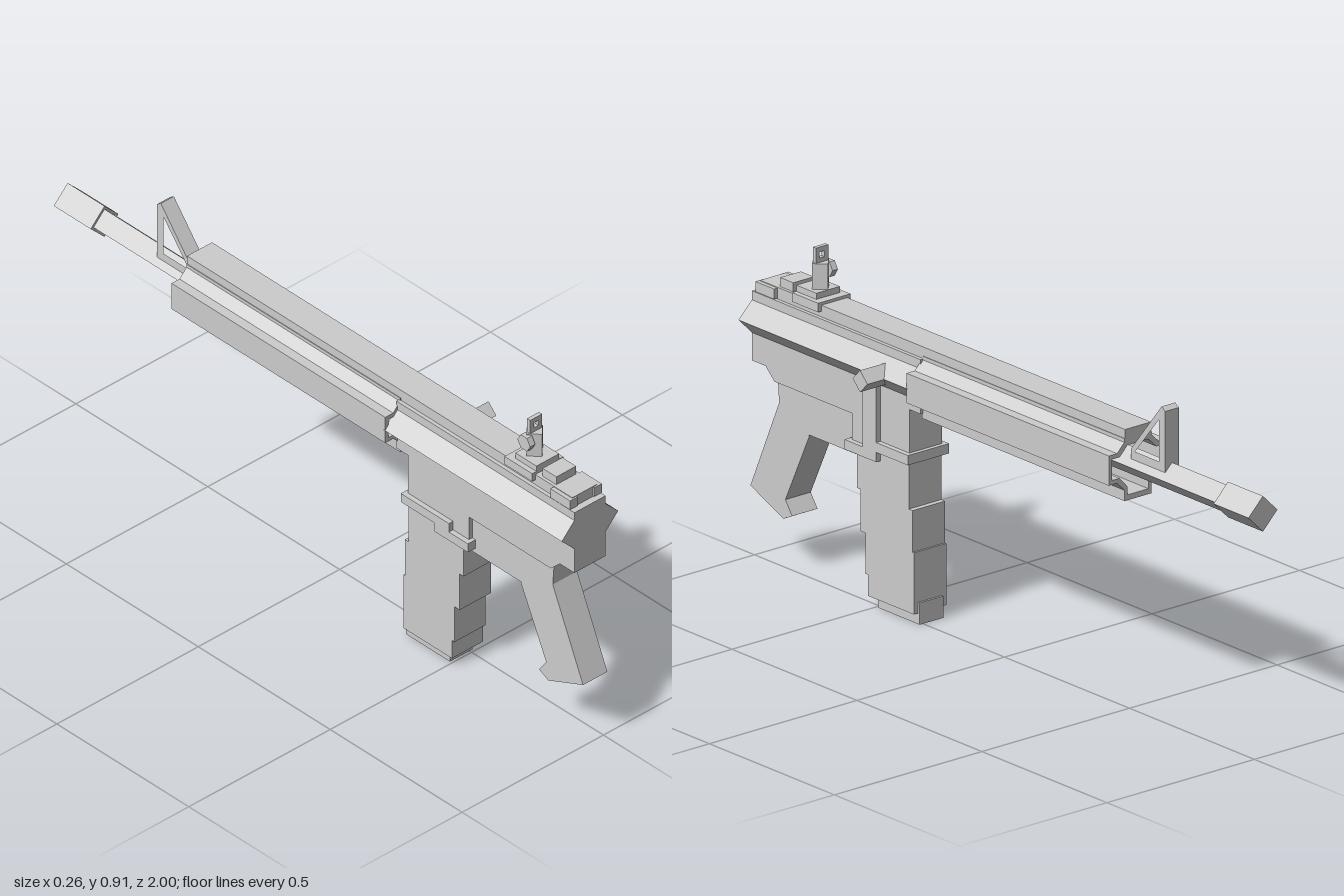
import * as THREE from 'three';

const MID = -0.029; // centre line of the body in x

export function createModel() {
  const group = new THREE.Group();
  const grey = new THREE.MeshStandardMaterial({ color: 0xcccccc, flatShading: true });
  grey.name = 'plainGrey';

  const add = (name, geometry) => {
    const mesh = new THREE.Mesh(geometry, grey);
    mesh.name = name;
    group.add(mesh);
    return mesh;
  };
  // Box from its limits on each axis
  const box = (name, x0, x1, y0, y1, z0, z1) =>
    add(name, new THREE.BoxGeometry(x1 - x0, y1 - y0, z1 - z0)
      .translate((x0 + x1) / 2, (y0 + y1) / 2, (z0 + z1) / 2));
  // Box centred on the body
  const midBox = (name, half, y0, y1, z0, z1) => box(name, MID - half, MID + half, y0, y1, z0, z1);
  const toPoints = (list) => list.map(([a, b]) => new THREE.Vector2(a, b));
  // Side profile given as [z, y], extruded across x
  const slab = (name, half, outline, hole) => {
    const flip = (list) => toPoints(list.map(([z, y]) => [-z, y]));
    const shape = new THREE.Shape(flip(outline));
    if (hole) shape.holes.push(new THREE.Path(flip(hole)));
    const geometry = new THREE.ExtrudeGeometry(shape, { depth: half * 2, bevelEnabled: false });
    return add(name, geometry.rotateY(Math.PI / 2).translate(MID - half, 0, 0));
  };
  // Square bar set on its corner, along z
  const diamondBar = (name, x, y, r, z0, z1) =>
    add(name, new THREE.CylinderGeometry(r, r, z1 - z0, 4).rotateX(Math.PI / 2)
      .translate(x, y, (z0 + z1) / 2));

  // Barrel and muzzle
  diamondBar('barrel', MID, 0.67, 0.039, -0.88, 0.32);
  diamondBar('muzzle', MID, 0.67, 0.049, -1, -0.86);

  // Hollow fore-end, mirrored half section given as [half width, y]
  const mirror = (half) => toPoints([
    ...half.map(([w, y]) => [MID + w, y]),
    ...half.slice().reverse().map(([w, y]) => [MID - w, y]),
  ]);
  const section = new THREE.Shape(mirror([
    [0.046, 0.575], [0.046, 0.605], [0.071, 0.63], [0.099, 0.63],
    [0.099, 0.712], [0.071, 0.712], [0.046, 0.737], [0.046, 0.747],
  ]));
  section.holes.push(new THREE.Path(mirror([
    [0.035, 0.59], [0.035, 0.612], [0.062, 0.642], [0.088, 0.642],
    [0.088, 0.70], [0.062, 0.70], [0.035, 0.727],
  ])));
  add('foreEnd', new THREE.ExtrudeGeometry(section, { depth: 0.81, bevelEnabled: false })
    .translate(0, 0, -0.5));
  midBox('topRail', 0.044, 0.73, 0.772, -0.5, 0.96);

  // Receiver with its corner-set side bars
  slab('receiver', 0.055, [
    [0.98, 0.74], [0.98, 0.548], [0.925, 0.548], [0.89, 0.515], [0.58, 0.515],
    [0.58, 0.43], [0.35, 0.45], [0.35, 0.59], [0.305, 0.59], [0.305, 0.74],
  ]);
  for (const side of [-1, 1]) {
    diamondBar('sideBar', MID + side * 0.05, 0.67, 0.05, 0.305, 0.98);
    const x = MID + side * 0.043;
    box('rearHandleTab', x - 0.013, x + 0.013, 0.742, 0.77, 0.89, 0.965);
  }
  midBox('rearBlock', 0.035, 0.76, 0.797, 0.838, 0.89);
  add('sideKnob', new THREE.CylinderGeometry(0.03, 0.03, 0.107, 4).rotateZ(Math.PI / 2)
    .rotateX(Math.PI / 2).translate(0.0735, 0.67, 0.428));

  // Grip and the block in front of it
  slab('grip', 0.043, [
    [0.89, 0.52], [0.765, 0.52], [0.765, 0.395], [0.86, 0.195], [0.833, 0.157],
    [0.868, 0.14], [1, 0.195], [0.885, 0.455],
  ]);
  midBox('triggerBlock', 0.043, 0.4, 0.52, 0.578, 0.768);

  // Stepped collar and side rib
  midBox('collarRear', 0.07, 0.416, 0.443, 0.465, 0.592);
  midBox('collarFront', 0.07, 0.443, 0.47, 0.338, 0.52);
  box('sideRib', 0.02, 0.041, 0.43, 0.64, 0.465, 0.52);

  // Stepped magazine, each row [y0, y1, z0, z1]
  [
    [0.315, 0.45, 0.352, 0.56],
    [0.2, 0.315, 0.337, 0.545],
    [0.088, 0.2, 0.332, 0.526],
    [0.03, 0.088, 0.332, 0.516],
  ].forEach(([y0, y1, z0, z1]) => midBox('magazineStep', 0.055, y0, y1, z0, z1));
  midBox('magazineFoot', 0.04, 0, 0.06, 0.326, 0.492);

  // Rear sight: base, post, side dial and pierced leaf
  midBox('sightBase', 0.055, 0.755, 0.78, 0.715, 0.82);
  midBox('sightPlate', 0.04, 0.78, 0.797, 0.74, 0.82);
  add('sightPost', new THREE.CylinderGeometry(0.029, 0.029, 0.075, 4).translate(MID, 0.83, 0.77));
  add('sightDial', new THREE.CylinderGeometry(0.024, 0.024, 0.018, 6).rotateZ(Math.PI / 2)
    .translate(-0.058, 0.843, 0.77));
  const leaf = new THREE.Shape(toPoints([[-0.05, 0.865], [-0.008, 0.865], [-0.008, 0.91], [-0.05, 0.91]]));
  leaf.holes.push(new THREE.Path(toPoints([[-0.037, 0.88], [-0.021, 0.88], [-0.021, 0.896], [-0.037, 0.896]])));
  add('sightLeaf', new THREE.ExtrudeGeometry(leaf, { depth: 0.012, bevelEnabled: false })
    .translate(0, 0, 0.764));

  // Triangular front sight
  slab('frontSight', 0.023, [
    [-0.5, 0.685], [-0.5, 0.715], [-0.622, 0.865], [-0.636, 0.855], [-0.636, 0.685],
  ], [
    [-0.515, 0.71], [-0.612, 0.827], [-0.612, 0.71],
  ]);

  return group;
}
